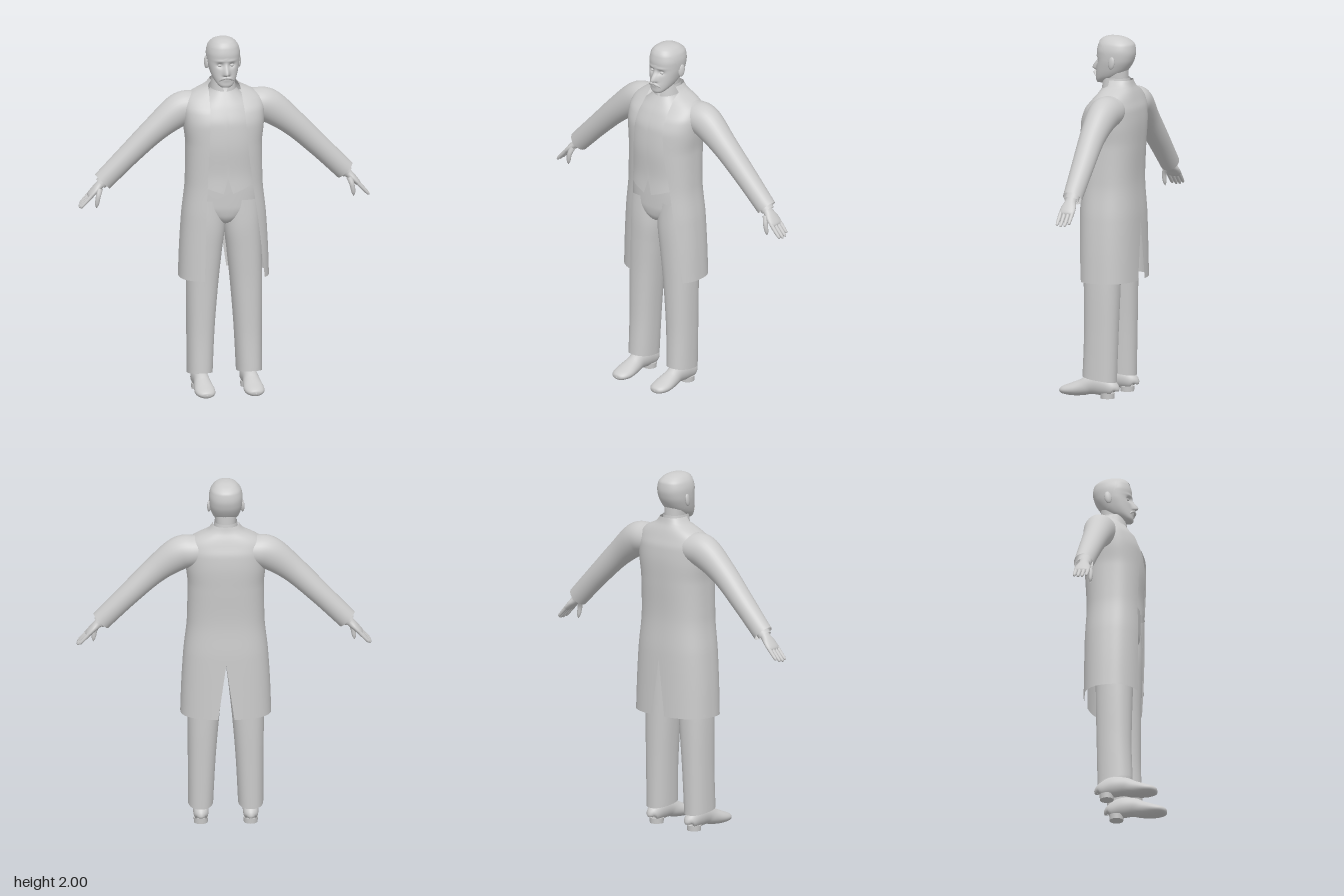
import * as THREE from 'three';
import { mergeVertices, mergeGeometries } from 'three/addons/utils/BufferGeometryUtils.js';

const { lerp, smoothstep, clamp } = THREE.MathUtils;
const PI = Math.PI;
const material = new THREE.MeshStandardMaterial({ color: 0xcccccc, side: THREE.DoubleSide });

// Grid of quads from fn(u, v) -> [x, y, z]
function grid(fn, nu, nv, flip) {
  const pos = [], idx = [];
  for (let j = 0; j <= nv; j++) for (let i = 0; i <= nu; i++) pos.push(...fn(i / nu, j / nv));
  for (let j = 0; j < nv; j++) for (let i = 0; i < nu; i++) {
    const a = j * (nu + 1) + i, b = a + 1, c = a + nu + 1, d = c + 1;
    if (flip) idx.push(a, b, c, b, d, c);
    else idx.push(a, c, b, b, c, d);
  }
  const g = new THREE.BufferGeometry();
  g.setAttribute('position', new THREE.Float32BufferAttribute(pos, 3));
  g.setIndex(idx);
  return g;
}

function mesh(name, geometries) {
  const g = mergeVertices(mergeGeometries([geometries].flat()), 1e-5);
  g.computeVertexNormals();
  const m = new THREE.Mesh(g, material);
  m.name = name;
  return m;
}

// Monotone smooth interpolation of key rows [y, ...values]
function sample(keys, y) {
  let i = 0;
  while (i < keys.length - 2 && y > keys[i + 1][0]) i++;
  const secant = (k, c) => (keys[k + 1][c] - keys[k][c]) / (keys[k + 1][0] - keys[k][0]);
  const slope = (k, c) => {
    if (k === 0) return secant(0, c);
    if (k === keys.length - 1) return secant(k - 1, c);
    const a = secant(k - 1, c), b = secant(k, c);
    return a * b <= 0 ? 0 : 2 * a * b / (a + b);
  };
  const h = keys[i + 1][0] - keys[i][0], t = clamp((y - keys[i][0]) / h, 0, 1);
  return keys[i].map((p, c) => {
    if (c === 0) return y;
    const q = keys[i + 1][c], s = t * t * (3 - 2 * t);
    return p + (q - p) * s + h * t * (1 - t) * ((1 - t) * slope(i, c) - t * slope(i + 1, c));
  });
}

// Upright surface through horizontal oval sections [y, centreX, halfWidth, zFront, zBack]
function upright(keys, o = {}) {
  const { n = 2.3, range = () => [0, 2 * PI], nu = 48, nv = 40, ease = t => t, warp } = o;
  const { lo = () => keys[0][0], hi = () => keys.at(-1)[0] } = o;
  return grid((u, v) => {
    const y = lerp(lo(u), hi(u), ease(v));
    const [, cx, w, zf, zb] = sample(keys, y);
    const [a, b] = range(y, w);
    const th = lerp(a, b, u), c = Math.cos(th), s = Math.sin(th);
    const p = [cx + w * Math.sign(c) * Math.abs(c) ** (2 / n), y,
      (zf + zb) / 2 + (zf - zb) / 2 * Math.sign(s) * Math.abs(s) ** (2 / n)];
    if (warp && s > 0) p[2] += warp(p[0], y);
    return p;
  }, nu, nv);
}

// Tube through [x, y, z, radius along axis, radius across]
function limb(keys, axis = new THREE.Vector3(0, 0, 1), nu = 24, nv = 24) {
  const path = new THREE.CatmullRomCurve3(keys.map(k => new THREE.Vector3(k[0], k[1], k[2])), false, 'catmullrom');
  const radii = new THREE.CatmullRomCurve3(keys.map(k => new THREE.Vector3(k[3], k[4], 0)), false, 'catmullrom');
  return grid((u, v) => {
    const p = path.getPoint(v), r = radii.getPoint(v), a = u * 2 * PI;
    const across = path.getTangent(v).cross(axis).normalize();
    return p.addScaledVector(axis, Math.max(r.x, 0) * Math.cos(a))
      .addScaledVector(across, Math.max(r.y, 0) * Math.sin(a)).toArray();
  }, nu, nv, true);
}

const X = new THREE.Vector3(1, 0, 0);
const mirrorKeys = (keys, s) => keys.map(k => [k[0] * s, ...k.slice(1)]);

function createHead() {
  const g = new THREE.Group();
  g.name = 'head';
  const skull = [
    [1.732, 0, 0, .03, .03], [1.737, 0, .027, .05, 0], [1.752, 0, .045, .056, -.03], [1.78, 0, .064, .054, -.09],
    [1.82, 0, .078, .05, -.13], [1.87, 0, .088, .045, -.157], [1.91, 0, .09, .047, -.165], [1.95, 0, .082, .04, -.16],
    [1.98, 0, .06, .022, -.13], [1.992, 0, .04, .002, -.1], [1.998, 0, .02, -.02, -.075], [2, 0, 0, -.045, -.045]];
  const bump = (dx, dy, rx, ry) => Math.exp(-((dx / rx) ** 2) - (dy / ry) ** 2);
  // Nose, eye sockets, lips and brow pushed out of or into the face
  const face = (x, y) => {
    const nose = y > 1.813 ? 1 - smoothstep(y, 1.813, 1.882) * .95 : smoothstep(y, 1.798, 1.813);
    return .033 * nose * Math.exp(-((x / lerp(.016, .01, smoothstep(y, 1.82, 1.87))) ** 2)) * (y < 1.9 ? 1 : 0)
      - .013 * bump(Math.abs(x) - .033, y - 1.86, .017, .013)
      + .006 * bump(x, y - 1.785, .03, .015) + .004 * bump(Math.abs(x) - .03, y - 1.885, .03, .008);
  };
  const ease = t => Math.sin(t * PI / 2);
  g.add(mesh('face', upright(skull, { nu: 96, nv: 90, ease, warp: face })));

  // Close-cropped hair, low at the nape and high at the brow
  const hairKeys = skull.map(([y, c, w, f, b]) => [y, c, w + .003, f + .003, b - .003]);
  g.add(mesh('hair', upright(hairKeys, {
    ease, lo: u => lerp(1.8, 1.966, smoothstep(Math.sin(u * 2 * PI), -.5, .75))
  })));

  const details = { ear: [], eye: [], moustache: [] };
  for (const s of [-1, 1]) {
    details.ear.push(new THREE.SphereGeometry(1, 16, 12).scale(.011, .036, .021)
      .rotateY(-s * .3).rotateX(-.15).translate(s * .091, 1.857, -.068));
    details.eye.push(new THREE.SphereGeometry(.01, 14, 10).scale(1.3, .8, 1).translate(s * .033, 1.859, .029));
    details.moustache.push(limb(mirrorKeys([[0, 1.795, .06, .008, .007], [.018, 1.792, .06, .009, .008],
      [.034, 1.781, .051, .006, .006], [.042, 1.772, .045, .001, .001]], s), undefined, 12, 12));
  }
  for (const [name, list] of Object.entries(details)) {
    list.forEach(q => { q.deleteAttribute('uv'); q.deleteAttribute('normal'); });
    g.add(mesh(name, list));
  }
  g.add(mesh('neck', upright([[1.66, 0, .062, 0, -.135], [1.74, 0, .055, -.005, -.125], [1.83, 0, .06, -.01, -.125]])));
  return g;
}

function createCoat() {
  const keys = [
    [.65, 0, .25, .12, -.21], [.8, 0, .245, .12, -.208], [1, 0, .233, .12, -.205], [1.2, 0, .213, .116, -.196],
    [1.4, 0, .21, .12, -.205], [1.52, 0, .222, .115, -.21], [1.6, 0, .226, .09, -.205], [1.65, 0, .215, .05, -.19],
    [1.68, 0, .185, .025, -.18], [1.705, 0, .14, .008, -.17], [1.725, 0, .098, 0, -.16], [1.758, 0, .07, 0, -.152]];
  const n = 2.5;
  const leftEdge = [[.65, .212], [1, .17], [1.2, .14], [1.45, .108], [1.76, .088]];
  const rightEdge = [[.65, .13], [1, .122], [1.2, .113], [1.5, .1], [1.76, .085]];
  // Angles of the open front and of the back vent at a given height
  const front = (edge, y, w) => Math.acos(Math.min(sample(edge, y)[1] / w, .96) ** (n / 2));
  const vent = (y, w) => Math.asin((.045 * Math.max(0, (.97 - y) / .32) / w) ** (n / 2));
  const half = range => upright(keys, { n, range, nu: 40, nv: 80 });
  return mesh('coat', [
    half((y, w) => [PI - front(rightEdge, y, w), 1.5 * PI - vent(y, w)]),
    half((y, w) => [1.5 * PI + vent(y, w), 2 * PI + front(leftEdge, y, w)])]);
}

function createArm(s) {
  const g = new THREE.Group();
  g.name = s > 0 ? 'leftArm' : 'rightArm';
  const part = (name, keys, nu, nv) => g.add(mesh(name, limb(mirrorKeys(keys, s), undefined, nu, nv)));
  part('sleeve', [[.08, 1.605, -.09, .08, .075], [.17, 1.603, -.09, .09, .087], [.25, 1.585, -.088, .086, .093],
    [.38, 1.487, -.083, .071, .073], [.527, 1.347, -.088, .062, .062], [.677, 1.196, -.092, .053, .057]], 32, 40);
  part('shirtCuff', [[.63, 1.243, -.09, .042, .038], [.688, 1.185, -.09, .04, .034]], 24, 4);
  part('palm', [[.65, 1.222, -.088, .03, .025], [.69, 1.181, -.088, .031, .024], [.72, 1.152, -.088, .043, .02],
    [.748, 1.122, -.088, .043, .015], [.758, 1.111, -.088, .02, .004]]);
  [-.053, -.076, -.099, -.121].forEach((z, i) => {
    const reach = [.93, 1, .97, .82][i], at = t => [.742 + .068 * t * reach, 1.128 - .073 * t * reach, z];
    part('finger', [[...at(0), .011, .011], [...at(.5), .0105, .01], [...at(.9), .008, .008], [...at(1), .001, .001]], 10, 12);
  });
  part('thumb', [[.695, 1.165, -.06, .014, .016], [.708, 1.125, -.045, .013, .014], [.716, 1.08, -.045, .01, .011],
    [.718, 1.058, -.047, .001, .001]], 12, 14);
  return g;
}

function createLeg(s) {
  const g = new THREE.Group();
  g.name = s > 0 ? 'leftLeg' : 'rightLeg';
  const keys = [[.09, .138, .069, .079, -.116], [.35, .132, .076, .07, -.122], [.6, .123, .087, .073, -.128],
    [.8, .111, .096, .08, -.13], [.95, .101, .102, .085, -.13], [1.1, .1, .1, .08, -.13]];
  g.add(mesh('trouserLeg', upright(keys.map(([y, c, ...r]) => [y, c * s, ...r]), {
    lo: u => .105 + .015 * Math.sin(u * 2 * PI)
  })));
  // Shoe lofted from heel to toe: z, half width, sole height, upper height
  const shoe = [[-.112, .004, .03, .05], [-.104, .036, .012, .09], [-.04, .044, .014, .13], [.03, .043, .018, .125],
    [.08, .05, .008, .1], [.14, .057, .004, .076], [.185, .05, .008, .06], [.21, .03, .014, .046], [.217, .002, .026, .032]];
  const x = s * .137;
  g.add(mesh('shoe', limb(shoe.map(([z, w, b, t]) => [x, (b + t) / 2, z, w, (t - b) / 2]), X, 28, 40)));
  const heel = new THREE.Mesh(new THREE.CylinderGeometry(.04, .038, .03, 24), material);
  heel.name = 'heel';
  heel.position.set(x, .015, -.066);
  g.add(heel);
  return g;
}

export function createModel() {
  const model = new THREE.Group();
  model.name = 'standingMan';
  const body = new THREE.Group();
  body.name = 'body';
  body.position.x = -.01;
  model.add(body);

  body.add(createHead(), createCoat());

  // Waistcoat and shirt front with a notched, pointed hem
  const vest = [[1.14, 0, .195, .113, -.18], [1.25, 0, .19, .107, -.18], [1.4, 0, .19, .113, -.18], [1.53, 0, .19, .104, -.18],
    [1.62, 0, .16, .072, -.16], [1.68, 0, .1, .036, -.15], [1.72, 0, .066, .012, -.14], [1.745, 0, .06, .006, -.135]];
  body.add(mesh('waistcoat', upright(vest, {
    n: 2.4, nu: 100, range: () => [0, PI],
    lo: u => {
      const x = .195 * Math.abs(Math.cos(u * PI)) ** (2 / 2.4);
      return x < .025 ? lerp(1.24, 1.145, x / .025) : lerp(1.145, 1.185, (x - .025) / .11);
    }
  })));

  // Standing shirt collar, open at the throat
  body.add(mesh('shirtCollar', upright([[1.7, 0, .072, .02, -.142], [1.768, 0, .062, .012, -.135]], {
    nv: 6, range: y => [PI / 2 + (y - 1.69) * 4, 2.5 * PI - (y - 1.69) * 4]
  })));

  body.add(mesh('trouserSeat', upright([[.955, 0, .01, .02, -.06], [.97, 0, .05, .055, -.1], [1.01, 0, .13, .078, -.13],
    [1.06, 0, .193, .085, -.14], [1.15, 0, .198, .086, -.145], [1.27, 0, .185, .085, -.15]])));

  for (const s of [-1, 1]) {
    body.add(createLeg(s));
    model.add(createArm(s));
  }
  return model;
}
